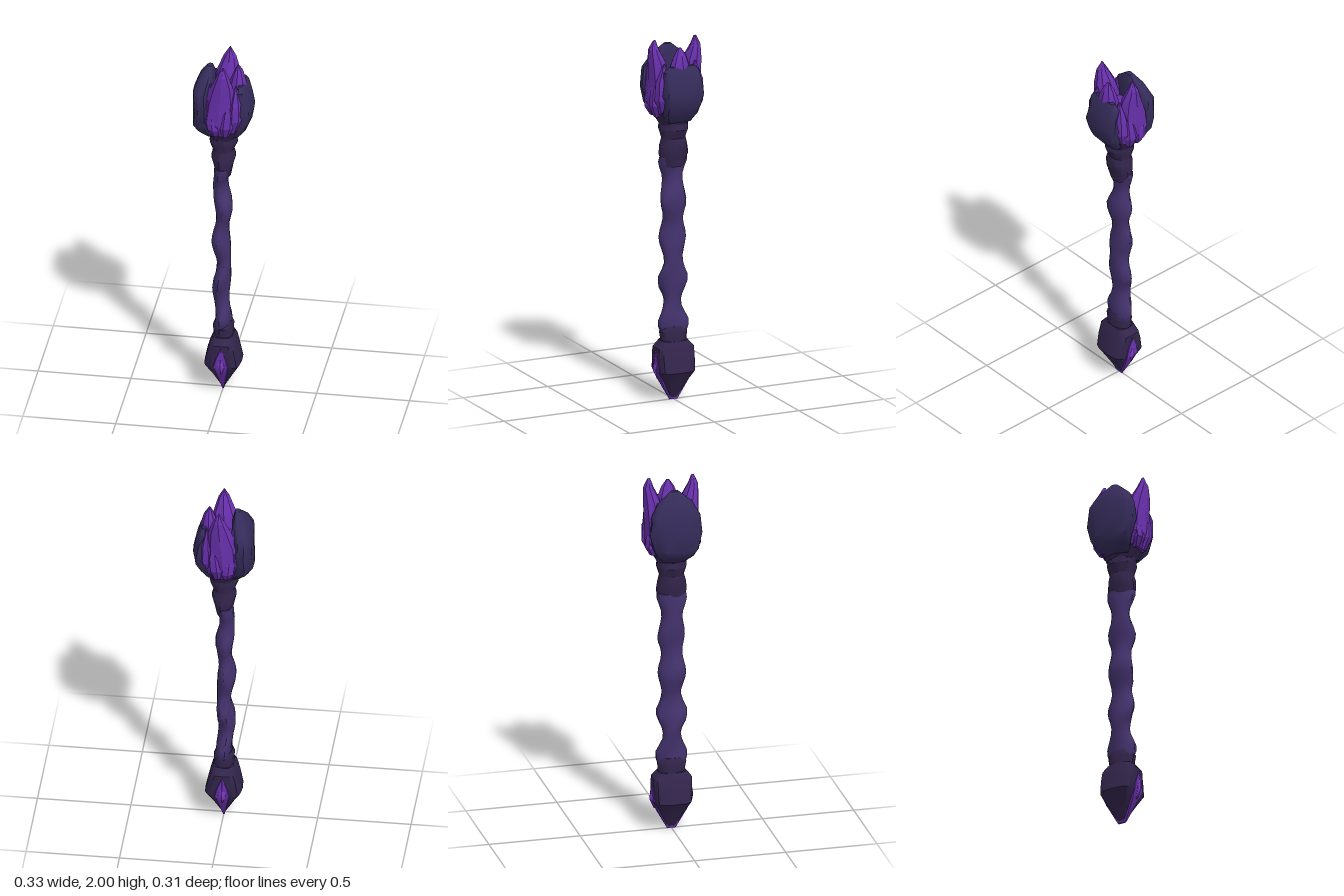
import * as THREE from 'three';
import { toCreasedNormals } from 'three/addons/utils/BufferGeometryUtils.js';

const paint = (name, color) => {
  const m = new THREE.MeshStandardMaterial({ color });
  m.name = name;
  return m;
};

// Repeatable roughness in the range -1..1
const rough = (a, b, seed) => {
  const s = Math.sin(a * 12.99 + b * 78.23 + seed * 37.7) * 43758.5453;
  return (s - Math.floor(s)) * 2 - 1;
};

// Closed loft through rings [y, centreX, centreZ, radiusX, radiusZ].
// power 1 gives ellipses, lower values give boxier rings.
function loft(rings, { sides = 10, power = 1, jitter = 0, seed = 1, crease = 0.6, twist = null } = {}) {
  const pos = [], index = [];
  const bend = (v) => Math.sign(v) * Math.pow(Math.abs(v), power);
  rings.forEach(([y, cx, cz, rx, rz], r) => {
    for (let i = 0; i < sides; i++) {
      const t = (i / sides) * Math.PI * 2;
      const k = 1 + jitter * rough(i, r, seed) + (twist ? twist(t, y) : 0);
      pos.push(cx + bend(Math.cos(t)) * rx * k, y, cz + bend(Math.sin(t)) * rz * k);
    }
  });
  const bottom = pos.length / 3, top = bottom + 1, last = (rings.length - 1) * sides;
  for (const [y, cx, cz] of [rings[0], rings[rings.length - 1]]) pos.push(cx, y, cz);
  for (let i = 0; i < sides; i++) {
    const j = (i + 1) % sides;
    for (let r = 0; r < last; r += sides) {
      const a = r + i, b = r + j;
      index.push(a, a + sides, b, b, a + sides, b + sides);
    }
    index.push(bottom, i, j, top, last + j, last + i);
  }
  const g = new THREE.BufferGeometry();
  g.setAttribute('position', new THREE.Float32BufferAttribute(pos, 3));
  g.setIndex(index);
  return toCreasedNormals(g, crease);
}

export function createModel() {
  const group = new THREE.Group();
  const shaftMat = paint('shaftPurple', 0x43326d);
  const collarMat = paint('darkPlum', 0x33254c);
  const clawMat = paint('clawIndigo', 0x352c5a);
  const crystalMat = paint('crystalViolet', 0x6830ac);
  const gemMat = paint('gemViolet', 0x7a3cc0);

  const add = (name, material, rings, options) => {
    const mesh = new THREE.Mesh(loft(rings, options), material);
    mesh.name = name;
    group.add(mesh);
  };

  // Gnarled shaft: swelling front to back, with a spiralling ridge
  const shaft = [];
  for (let y = 0.3; y < 1.36; y += 0.035) {
    const swell = Math.cos(((y - 1.11) / 0.23) * Math.PI * 2);
    shaft.push([y, -0.007 + 0.008 * Math.sin(y * 19), 0, 0.043 + 0.003 * swell, 0.067 + 0.014 * swell]);
  }
  add('shaft', shaftMat, shaft, {
    sides: 14, crease: 0.75, jitter: 0.03, seed: 2,
    twist: (t, y) => 0.09 * Math.cos(2 * t + y * 22),
  });

  // Ringed collars at both ends of the shaft
  add('upperCollar', collarMat, [
    [1.29, -0.002, 0, 0.04, 0.06], [1.36, 0, 0, 0.053, 0.082], [1.41, 0, 0, 0.066, 0.078],
    [1.45, 0, 0, 0.056, 0.068], [1.5, 0, 0, 0.076, 0.084], [1.53, 0, 0, 0.068, 0.08], [1.57, 0, 0, 0.07, 0.09],
  ], { sides: 14, jitter: 0.03 });
  add('lowerCollar', collarMat, [
    [0.28, 0, 0, 0.06, 0.08], [0.34, 0, 0, 0.052, 0.072], [0.38, 0, 0, 0.056, 0.08], [0.41, 0, 0, 0.046, 0.066],
  ], { sides: 14, jitter: 0.04 });

  // Pommel shell with a crystal wedge through it from front to back
  add('pommelShell', collarMat, [
    [0.005, 0, 0, 0.004, 0.018], [0.1, 0, 0, 0.057, 0.068], [0.165, 0, 0, 0.099, 0.104],
    [0.24, 0, 0, 0.084, 0.106], [0.295, 0, 0, 0.068, 0.106], [0.33, 0, 0, 0.054, 0.075],
  ], { sides: 16, power: 0.55, jitter: 0.02 });
  add('pommelCrystal', crystalMat, [
    [0, 0, 0, 0.005, 0.024], [0.1, 0, 0, 0.03, 0.08], [0.17, 0, 0, 0.05, 0.113],
    [0.22, 0, 0, 0.032, 0.113], [0.28, 0, 0, 0.003, 0.11],
  ], { sides: 12, power: 0.4 });
  add('pommelGem', gemMat, [
    [0.12, 0, 0, 0.004, 0.096], [0.17, 0, 0, 0.027, 0.119], [0.19, 0, 0, 0.025, 0.119], [0.235, 0, 0, 0.003, 0.112],
  ], { sides: 12, power: 0.5 });

  // Cup that carries the head
  add('headCup', collarMat, [
    [1.53, 0, 0, 0.065, 0.08], [1.57, 0, 0, 0.085, 0.1], [1.61, 0, 0, 0.125, 0.125], [1.66, 0, 0, 0.11, 0.11],
  ], { sides: 14, power: 0.85, jitter: 0.05 });
  add('crystalCore', crystalMat, [
    [1.6, 0, 0, 0.1, 0.11], [1.7, 0, 0, 0.11, 0.12], [1.78, 0, 0, 0.09, 0.09], [1.8, 0, 0, 0.04, 0.04],
  ], { sides: 10, jitter: 0.06 });

  // Uneven claws clasping the crystals on either side
  add('rightClaw', clawMat, [
    [1.55, -0.055, 0, 0.045, 0.07], [1.585, -0.09, 0, 0.05, 0.1], [1.63, -0.105, 0, 0.059, 0.125],
    [1.72, -0.1, 0, 0.057, 0.143], [1.82, -0.105, 0, 0.055, 0.132], [1.89, -0.087, 0, 0.045, 0.09],
    [1.95, -0.072, 0, 0.014, 0.02],
  ], { sides: 14, power: 0.8, jitter: 0.05, seed: 5, crease: 0.7 });
  add('leftClaw', clawMat, [
    [1.55, 0.05, 0, 0.04, 0.07], [1.6, 0.085, 0, 0.045, 0.1], [1.65, 0.105, 0, 0.048, 0.105],
    [1.71, 0.115, 0, 0.05, 0.115], [1.78, 0.107, 0, 0.042, 0.108], [1.84, 0.102, 0, 0.026, 0.1],
    [1.865, 0.1, 0, 0.014, 0.07],
  ], { sides: 14, power: 0.65, jitter: 0.06, seed: 8 });

  // Crystal clusters at the front and back
  for (const s of [1, -1]) {
    const side = s > 0 ? 'front' : 'back';
    add(side + 'Crystal', crystalMat, [
      [1.58, 0, s * 0.08, 0.05, 0.04], [1.66, -0.01, s * 0.098, 0.085, 0.053], [1.78, 0, s * 0.095, 0.085, 0.056],
      [1.88, 0.01, s * 0.105, 0.06, 0.048], [1.95, 0.015, s * 0.122, 0.032, 0.029], [2, 0.015, s * 0.12, 0.003, 0.008],
    ], { sides: 8, jitter: 0.07, seed: 3 + s, crease: 0.35 });
    // Smaller shards: [x, z, bottom, top, width, depth, lean]
    [
      [-0.065, 0.09, 1.59, 1.88, 0.042, 0.045, 0.01],
      [0.075, 0.095, 1.6, 1.88, 0.042, 0.05, 0.005],
      [0.03, 0.125, 1.58, 1.8, 0.042, 0.032, 0.015],
      [-0.03, 0.125, 1.58, 1.74, 0.04, 0.03, -0.01],
    ].forEach(([x, z, y0, y1, w, d, lean], i) => {
      const h = y1 - y0;
      add(side + 'Shard', crystalMat, [
        [y0, x * 0.8, s * z * 0.85, w * 0.5, d * 0.6], [y0 + h * 0.3, x, s * z, w, d],
        [y0 + h * 0.65, x + lean * 0.5, s * z, w * 0.85, d * 0.85], [y1, x + lean, s * z * 0.95, 0.004, 0.006],
      ], { sides: 7, jitter: 0.08, seed: 11 + i + s * 4, crease: 0.35 });
    });
  }

  // Inner crystal beside the lower claw
  add('innerCrystal', crystalMat, [
    [1.62, 0.07, 0, 0.04, 0.05], [1.75, 0.08, 0, 0.045, 0.065], [1.86, 0.078, 0, 0.045, 0.06],
    [1.92, 0.08, 0, 0.027, 0.035], [1.96, 0.078, 0, 0.005, 0.008],
  ], { sides: 8, jitter: 0.07, seed: 21, crease: 0.35 });

  return group;
}
